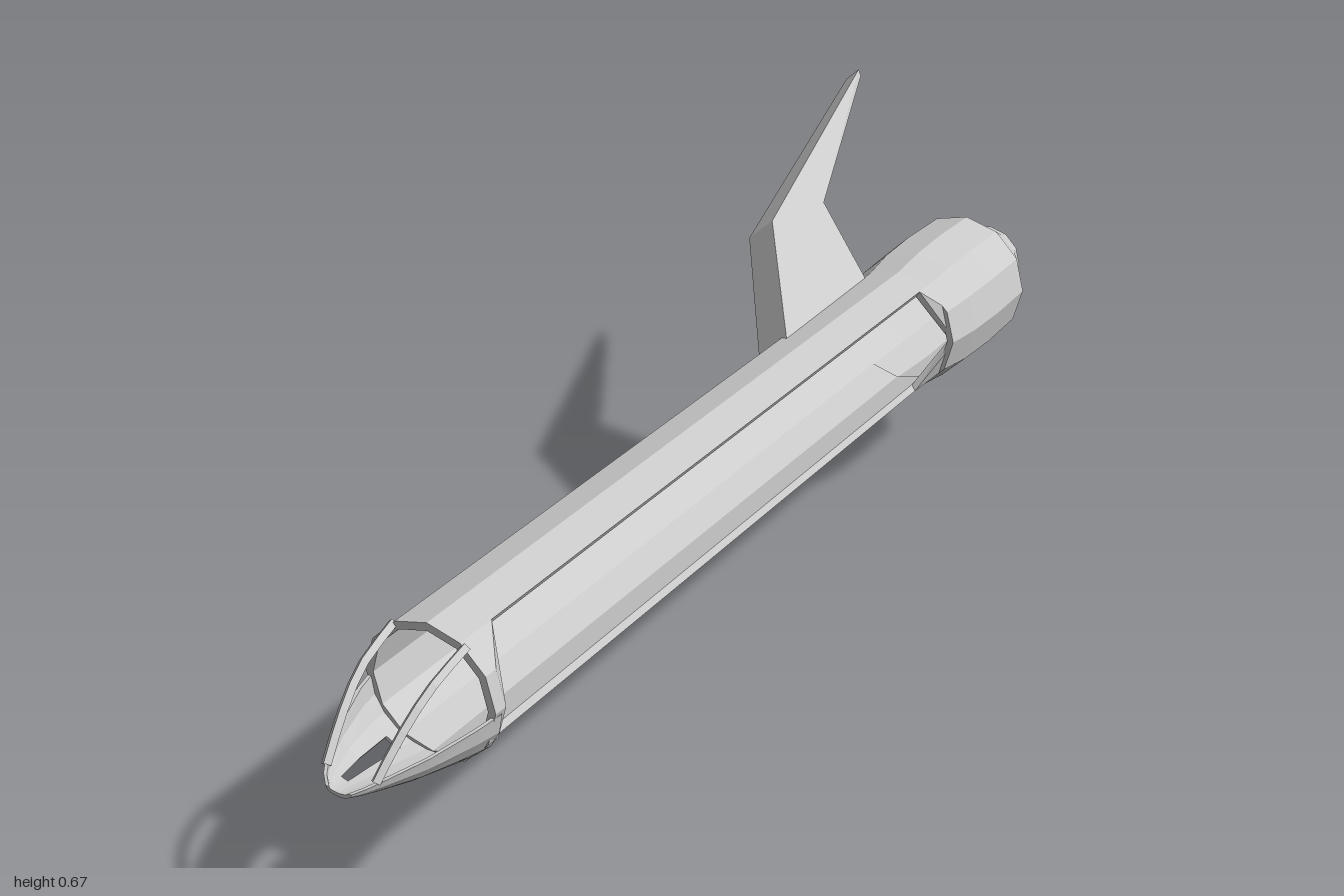
import * as THREE from 'three';

const CX = 0.09, CY = 0.342; // long axis of the hull
const rad = THREE.MathUtils.degToRad;
const material = new THREE.MeshStandardMaterial({ color: 0xcccccc, flatShading: true, side: THREE.DoubleSide });

function add(parent, name, geometry) {
  const mesh = new THREE.Mesh(geometry, material);
  mesh.name = name;
  parent.add(mesh);
  return mesh;
}

// Skin a list of closed cross-sections and cap both ends
function loft(loops) {
  const n = loops[0].length, last = (loops.length - 1) * n, index = [];
  for (let r = 0; r < loops.length - 1; r++) {
    for (let i = 0; i < n; i++) {
      const a = r * n + i, b = r * n + (i + 1) % n;
      index.push(a, b, a + n, b, b + n, a + n);
    }
  }
  // Quad strips between the two halves of each loop close the ends
  for (let i = 0; i < n / 2 - 1; i++) {
    const j = n - 1 - i;
    index.push(i, j, i + 1, i + 1, j, j - 1);
    index.push(last + i, last + i + 1, last + j, last + i + 1, last + j - 1, last + j);
  }
  const g = new THREE.BufferGeometry();
  g.setAttribute('position', new THREE.Float32BufferAttribute(loops.flat(2), 3));
  g.setIndex(index);
  g.computeVertexNormals();
  return g;
}

// Twelve-sided wall, cut away by an angle either side of +x
function wallSection([z, cut]) {
  const ring = (r) => Array.from({ length: 13 }, (_, i) => {
    const a = rad(Math.min(Math.max(i * 30, cut), 360 - cut));
    return [CX + r * Math.cos(a), CY + r * Math.sin(a), z];
  });
  return [...ring(0.112), ...ring(0.099).reverse()];
}

// Lower nose: z, half width, rim height, keel height
const NOSE = [[0.775, 0.112, 0.335, 0.232], [0.82, 0.104, 0.331, 0.243], [0.9, 0.08, 0.321, 0.262],
  [0.96, 0.052, 0.312, 0.278], [0.985, 0.037, 0.306, 0.285], [1, 0.022, 0.3, 0.289]];

function noseBand(from, to, rows) {
  const steps = 3;
  return loft(rows.map(([z, w, rim, keel]) => {
    const arc = (t) => Array.from({ length: steps + 1 }, (_, i) => {
      const a = rad(from + (to - from) * i / steps);
      return [CX + (w - t) * Math.cos(a), rim + (rim - keel - t) * Math.sin(a), z];
    });
    return [...arc(0), ...arc(0.006).reverse()];
  }));
}

// Swept fin: each station runs from leading to trailing edge, [z, radius, half thickness]
const FIN = [
  [[-0.29, 0.1, 0.036], [-0.59, 0.1, 0.028]],
  [[-0.46, 0.283, 0.031], [-0.625, 0.26, 0.026]],
  [[-0.98, 0.432, 0.017], [-0.98, 0.42, 0.013]],
];

function fin(angle) {
  const c = Math.cos(rad(angle)), s = Math.sin(rad(angle));
  const corner = ([z, r, h], side) => [CX + r * c - side * h * s, CY + r * s + side * h * c, z];
  return loft(FIN.map(([lead, trail]) =>
    [corner(lead, 1), corner(lead, -1), corner(trail, -1), corner(trail, 1)]));
}

export function createModel() {
  const model = new THREE.Group();
  model.name = 'rocket';

  // Hollow body with one open side and a full hoop at each end
  const bodyRows = [[-0.63, 0], [-0.59, 60], [0.715, 60], [0.765, 0], [0.79, 0]];
  add(model, 'body', loft(bodyRows.map(wallSection)));

  // Hollow engine bell, inner then outer profile as radius and z
  const bell = [[0.1, -0.62], [0.108, -0.76], [0.104, -0.88], [0.056, -0.96], [0.053, -1], [0.062, -1],
    [0.076, -0.965], [0.121, -0.89], [0.124, -0.78], [0.121, -0.69], [0.112, -0.62], [0.1, -0.62]];
  const engine = add(model, 'engine', new THREE.LatheGeometry(bell.map((p) => new THREE.Vector2(...p)), 12));
  engine.rotation.x = Math.PI / 2;
  engine.position.set(CX, CY, 0);

  // Lower nose: sides and keel, parted by slots that close at both ends
  const nose = new THREE.Group();
  nose.name = 'nose';
  model.add(nose);
  add(nose, 'keel', noseBand(250, 290, NOSE));
  for (const mirrored of [false, true]) {
    const span = (a, b) => (mirrored ? [540 - b, 540 - a] : [a, b]);
    add(nose, 'noseSide', noseBand(...span(180, 234), NOSE));
    add(nose, 'slotRear', noseBand(...span(234, 250), NOSE.slice(0, 2)));
    add(nose, 'slotFront', noseBand(...span(234, 250), NOSE.slice(3)));
  }

  // Window struts arching from the hoop to the nose tip
  for (const side of [-1, 1]) {
    const path = new THREE.CatmullRomCurve3([[0.062, 0.432, 0.785], [0.058, 0.405, 0.865], [0.05, 0.36, 0.925],
      [0.042, 0.31, 0.972]].map(([x, y, z]) => new THREE.Vector3(CX + side * x, y, z)));
    add(nose, 'windowStrut', new THREE.TubeGeometry(path, 6, 0.008, 4));
  }

  // Two swept fins
  add(model, 'upperFin', fin(133));
  add(model, 'lowerFin', fin(230));

  return model;
}
